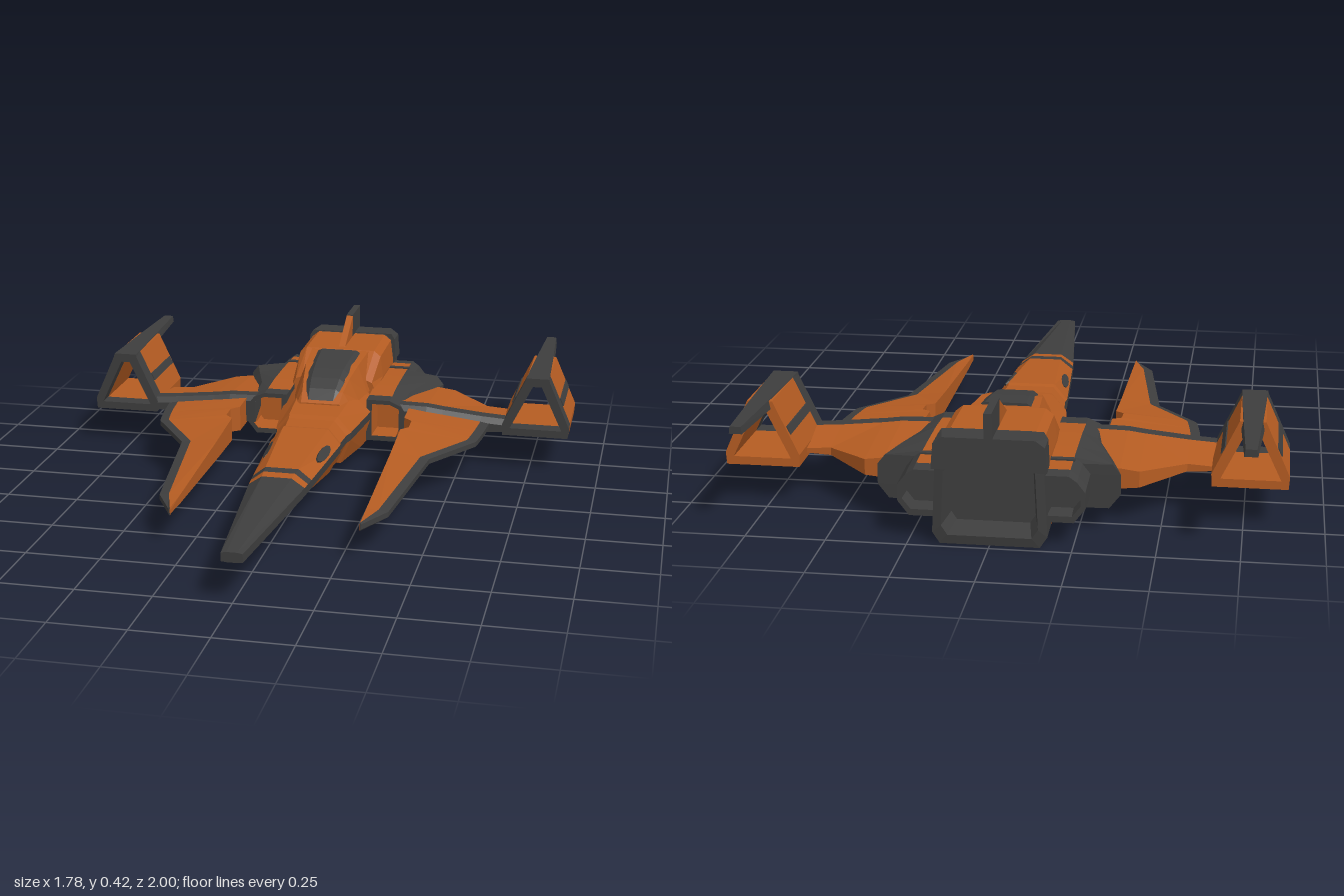
import * as THREE from 'three';

const orange = new THREE.MeshStandardMaterial({ color: 0xb55c22 });
orange.name = 'burnt orange';
const dark = new THREE.MeshStandardMaterial({ color: 0x3e3e3e });
dark.name = 'charcoal';
const MATS = [orange, dark];
const O = 0, D = 1;

// Closed faceted loft through rings of [x, y, z]; paint(segment, edge) picks the colour.
// Segment -1 is the first cap, rings.length - 1 the last one.
function loft(name, rings, paint, flip = 1) {
  const tris = [[], []];
  const R = rings.map(r => r.map(([x, y, z]) => new THREE.Vector3(x * flip, y, z)));
  const n = R[0].length, last = R.length - 1;
  for (let i = 0; i < last; i++) for (let j = 0; j < n; j++) {
    const k = (j + 1) % n, [a, b, c, d] = [R[i][j], R[i][k], R[i + 1][k], R[i + 1][j]];
    tris[paint(i, j)].push([a, b, c], [a, c, d]);
  }
  for (const [ring, seg] of [[R[0], -1], [R[last], last]]) {
    const mid = ring.reduce((s, p) => s.add(p), new THREE.Vector3()).divideScalar(n);
    for (let j = 0; j < n; j++) {
      const k = (j + 1) % n;
      tris[paint(seg, j)].push(seg < 0 ? [ring[k], ring[j], mid] : [ring[j], ring[k], mid]);
    }
  }
  // turn everything outward if the enclosed volume is negative
  let volume = 0;
  for (const [a, b, c] of tris.flat()) volume += a.dot(b.clone().cross(c));
  const geo = new THREE.BufferGeometry(), pos = [];
  let start = 0;
  tris.forEach((list, m) => {
    for (const [a, b, c] of list) for (const p of volume < 0 ? [a, c, b] : [a, b, c]) pos.push(p.x, p.y, p.z);
    if (list.length) geo.addGroup(start, list.length * 3, m);
    start += list.length * 3;
  });
  geo.setAttribute('position', new THREE.Float32BufferAttribute(pos, 3));
  geo.computeVertexNormals();
  const mesh = new THREE.Mesh(geo, MATS);
  mesh.name = name;
  return mesh;
}

// Half profile (top to bottom) mirrored into a full ring at z
const sym = (half, z) => [...half, ...[...half].reverse().map(([x, y]) => [-x, y])].map(([x, y]) => [x, y, z]);
const at = (pts, z) => pts.map(([x, y]) => [x, y, z]);
// Shrink a ring around its centre and move it along z
const inset = (ring, s, dz) => {
  const cx = ring.reduce((t, p) => t + p[0], 0) / ring.length, cy = ring.reduce((t, p) => t + p[1], 0) / ring.length;
  return ring.map(([x, y, z]) => [cx + (x - cx) * s, cy + (y - cy) * s, z + dz]);
};
const prism = (name, pts, z0, z1, colour, flip) => loft(name, [at(pts, z0), at(pts, z1)], () => colour, flip);

function createModel() {
  const model = new THREE.Group();
  model.name = 'starfighter';

  // Long tapering nose and cockpit hull: z, top half width, top y, chine half width, chine y, bottom half width, bottom y
  const hull = [
    [1, .016, .165, .034, .148, .016, .132], [.41, .05, .195, .094, .151, .05, .098],
    [.37, .053, .198, .097, .151, .053, .095], [.33, .056, .2, .1, .151, .056, .092],
    [-.04, .08, .221, .124, .153, .085, .062], [-.06, .078, .217, .12, .153, .083, .07],
    [-.14, .082, .221, .126, .155, .09, .066], [-.17, .088, .226, .136, .157, .1, .054],
    [-.4, .1, .24, .165, .165, .13, .042], [-.62, .12, .26, .165, .165, .14, .028],
  ].map(([z, tw, ty, cw, cy, bw, by]) => sym([[tw, ty], [cw, cy + .014], [cw, cy - .014], [bw, by]], z));
  model.add(loft('noseHull', hull, (i, j) => {
    if (i <= 0 || i === 2) return D;
    return j === 1 || j === 5 ? D : O;
  }));

  // Rear hull with recessed main nozzle
  const rearHalf = (t, b) => [[.13, t], [.155, t - .02], [.165, .24], [.175, b + .035], [.152, b]];
  const tail = sym(rearHalf(.335, 0), -.975);
  const rear = [
    sym([[.12, .26], [.145, .25], [.16, .22], [.165, .07], [.14, .034]], -.53),
    sym(rearHalf(.337, .025), -.66), sym(rearHalf(.339, .007), -.89), tail,
    inset(tail, .84, -.005), inset(tail, .74, .08),
  ];
  model.add(loft('rearHull', rear, i => (i >= 2 ? D : O)));
  model.add(loft('tailCap', [sym([[.155, .341], [.168, .32], [.172, .24]], -.9), sym([[.14, .341], [.168, .32], [.175, .24]], -.985)], () => D));

  // Canopy frame and glass
  const canopy = [[-.28, .07, .237, .09], [-.33, .075, .268, .105], [-.4, .085, .298, .12], [-.5, .098, .322, .135], [-.68, .11, .337, .15]];
  model.add(loft('canopyFrame', canopy.map(([z, w, y, b]) => sym([[w, y], [b, .22]], z)), () => O));
  const glass = [[-.285, .045, .238, .06], [-.33, .048, .278, .066], [-.38, .052, .304, .07], [-.44, .055, .322, .075], [-.53, .06, .335, .082], [-.635, .065, .342, .09]];
  model.add(loft('canopyGlass', glass.map(([z, w, y, b]) => sym([[w, y], [b, y - .014], [b, .23]], z)), () => D));

  // Dorsal fin
  const slab = (name, pts, c) => loft(name, [-.012, .012].map(x => pts.map(([z, y]) => [x, y, z])), () => c);
  model.add(slab('finRamp', [[-.68, .33], [-.845, .42], [-.845, .33]], O));
  model.add(slab('dorsalFin', [[-.845, .424], [-1, .424], [-1, .32], [-.845, .32]], D));

  for (const side of [1, -1]) {
    const half = new THREE.Group();
    half.name = side > 0 ? 'leftSide' : 'rightSide';
    model.add(half);

    // Engine pod: open intake in front, recessed nozzle behind
    const pod = (z, x, top = .225, low = .07) => at([[.15, top], [.235, top], [x - .025, top - .018], [x, top - .05], [x, low + .045], [x - .035, low], [.15, low]], z);
    const mouth = pod(-.4, .3), end = pod(-.95, .285, .222, .075);
    const podRings = [
      inset(mouth, .72, -.09), inset(mouth, .78, 0), mouth, pod(-.46, .303), pod(-.57, .31, .232), pod(-.7, .35, .232),
      pod(-.8, .378, .23), pod(-.803, .285, .23), pod(-.9, .285, .226), end, inset(end, .75, 0), inset(end, .68, .06),
    ];
    half.add(loft('enginePod', podRings, (i, j) => (i < 1 || (j === 0 && i >= 3 && i <= 7) ? O : D), side));
    half.add(loft('podStripe', [[-.81], [-.83]].map(([z]) => at([[.16, .225], [.16, .234], [.24, .234], [.24, .225]], z)), () => D, side));

    // Main wing with dark leading band: x, rear z, top y, bottom y
    const wing = [[.27, -.75, .21, .1], [.37, -.75, .208, .102], [.43, -.75, .2, .108], [.57, -.62, .186, .121], [.66, -.62, .18, .126]]
      .map(([x, zr, t, b]) => [[x, t - .02, -.4], [x, t, -.415], [x, t, -.46], [x, t - .025, zr], [x, b + .015, zr], [x, b, -.46], [x, b + .01, -.4]]);
    half.add(loft('wing', wing, (i, j) => (j < 2 || j === 6 ? D : O), side));

    // Forward blade: z, inner x, outer x, inner top, inner bottom, edge y
    const blade = [
      [-.41, .305, .602, .2, .105, .155], [-.31, .305, .594, .195, .104, .153], [-.285, .335, .591, .192, .104, .152],
      [-.225, .335, .583, .188, .103, .15], [-.2, .308, .578, .186, .102, .149], [-.01, .309, .442, .168, .1, .14],
      [.47, .31, .382, .134, .104, .119], [.59, .31, .316, .122, .11, .116],
    ].map(([z, xi, xo, t, b, e]) => {
      const xs = Math.max(xi + .002, xo - .032);
      return at([[xi, t], [xs, e + .014], [xo, e + .009], [xo, e - .009], [xs, e - .014], [xi, b]], z);
    });
    half.add(loft('forwardBlade', blade, (i, j) => (j >= 1 && j <= 3 ? D : O), side));

    // Hollow wingtip frame
    const outline = new THREE.Shape([[.65, .125], [.885, .125], [.888, .165], [.81, .34], [.73, .34], [.648, .165]].map(p => new THREE.Vector2(p[0] * side, p[1])));
    outline.holes.push(new THREE.Path([[.676, .152], [.754, .312], [.786, .312], [.862, .152]].map(p => new THREE.Vector2(p[0] * side, p[1]))));
    for (const [name, z, depth, mat] of [['tipFrameFront', -.46, .06, dark], ['tipFrameShell', -.715, .255, orange]]) {
      const geo = new THREE.ExtrudeGeometry(outline, { depth, bevelEnabled: false });
      geo.translate(0, 0, z);
      const mesh = new THREE.Mesh(geo, mat);
      mesh.name = name;
      half.add(mesh);
    }
    // Stripes on both sloping faces of the frame
    const slope = (x0, x1, s) => [.23, .255].map(y => [x0 + (x1 - x0) * (y - .165) / .175 + s, y]);
    for (const [x0, x1, s] of [[.888, .81, .004], [.648, .73, -.004]]) {
      const [a, b] = slope(x0, x1, s), [c, d] = slope(x0, x1, -s);
      half.add(prism('tipStripe', [a, b, d, c], -.46, -.705, D, side));
    }
    // Long spar on top of the frame, tapering backward
    const spar = [[-.4, .041, .312], [-.7, .03, .314], [-.98, .017, .32]]
      .map(([z, w, low]) => at([[.77 - w, .343], [.77 + w, .343], [.77 + w * 1.2, low], [.77 - w * 1.2, low]], z));
    half.add(loft('tipSpar', spar, () => D, side));

    // Dark oval port on the upper slope of the nose
    const port = off => Array.from({ length: 10 }, (_, k) => {
      const a = k * Math.PI / 5, z = .12 + .075 * Math.cos(a), t = .6 + .27 * Math.sin(a);
      const u = (.33 - z) / .37;
      const tx = .056 + .024 * u, ty = .2 + .021 * u, cx = .1 + .024 * u, cy = .165 + .002 * u;
      return [tx + (cx - tx) * t + off * .7, ty + (cy - ty) * t + off * .7, z];
    });
    half.add(loft('sidePort', [port(-.003), port(.004)], () => D, side));
  }
  return model;
}

export { createModel };
